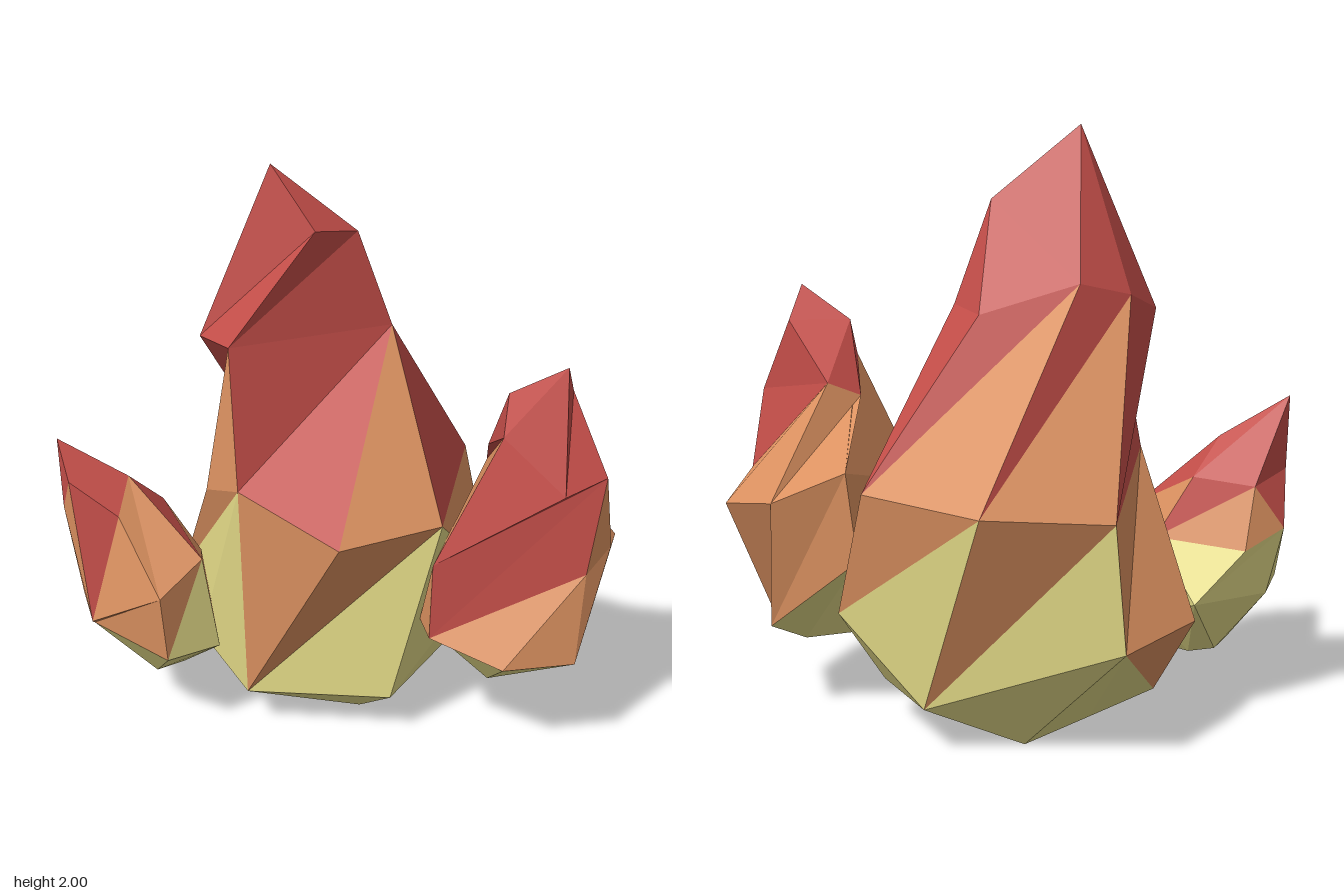
import * as THREE from 'three';

const materials = [
  ['emberRed', 0xc44e49],
  ['flameOrange', 0xdb9160],
  ['paleYellow', 0xe1d886],
].map(([name, color]) => {
  const m = new THREE.MeshStandardMaterial({ color, flatShading: true });
  m.name = name;
  return m;
});

// Stitch rings of corners, lowest first. Each band has one code per quad:
// direction of its diagonal, colour of the upper and of the lower triangle.
function flame(name, rings, bands) {
  const lists = { r: [], o: [], y: [] };
  const tri = (colour, a, b, c) => {
    const [A, B, C] = [a, b, c].map((p) => new THREE.Vector3(...p));
    const area = B.clone().sub(A).cross(C.clone().sub(A)).length();
    if (area > 1e-6) lists[colour].push(...a, ...b, ...c);
  };
  const n = rings[0].length;
  bands.forEach((codes, k) => {
    codes.split(' ').forEach(([diagonal, up, low], i) => {
      const j = (i + 1) % n;
      const [p, pn, q, qn] = [rings[k][i], rings[k][j], rings[k + 1][i], rings[k + 1][j]];
      if (diagonal === '/') {
        tri(up, p, qn, q);
        tri(low, p, pn, qn);
      } else {
        tri(up, pn, qn, q);
        tri(low, p, pn, q);
      }
    });
  });
  // close the base and the top
  const base = rings[0], top = rings[rings.length - 1];
  const peak = top.reduce((a, b) => (b[1] > a[1] ? b : a));
  for (let i = 0; i < n; i++) {
    const j = (i + 1) % n;
    tri('y', base[0], base[j], base[i]);
    tri('r', peak, top[i], top[j]);
  }
  const geometry = new THREE.BufferGeometry();
  const all = [];
  ['r', 'o', 'y'].forEach((key, m) => {
    geometry.addGroup(all.length / 3, lists[key].length / 3, m);
    all.push(...lists[key]);
  });
  geometry.setAttribute('position', new THREE.Float32BufferAttribute(all, 3));
  geometry.computeVertexNormals();
  const mesh = new THREE.Mesh(geometry, materials);
  mesh.name = name;
  return mesh;
}

function mainFlame() {
  const tip = [-0.06, 2, -0.3], shoulder = [0, 1.79, -0.14], brow = [0.19, 1.76, -0.14];
  const b0 = [0.29, 1.42, -0.07], b5 = [-0.33, 1.44, -0.2];
  const a4 = [0.25, 0.79, -0.77], l4 = [0.22, 0.38, -0.79];
  const d0 = [0.04, 0.01, 0.05], d3 = [0.28, 0, -0.4];
  return flame('mainFlame', [
    [d0, d0, [0.48, 0.15, 0.08], d3, d3, [-0.02, 0.02, -0.4], [-0.22, 0.1, -0.51], [-0.2, 0.09, -0.23]],
    [[-0.35, 0.15, -0.12], [0, 0.16, 0.26], [0.64, 0.4, 0.12], [0.58, 0.15, -0.25],
      l4, l4, [-0.22, 0.38, -0.69], [-0.36, 0.28, -0.38]],
    [[-0.24, 0.83, 0.26], [0.15, 0.83, 0.35], [0.69, 0.84, -0.08], [0.6, 0.82, -0.54],
      a4, a4, [-0.37, 0.9, -0.3], [-0.39, 0.97, -0.09]],
    [b0, b0, [0.36, 1.4, -0.27], [0.15, 1.5, -0.51],
      [-0.04, 1.46, -0.55], [-0.26, 1.4, -0.46], b5, b5],
    [brow, brow, brow, tip, tip, tip, shoulder, shoulder],
  ], [
    '/yy \\yy /yy /yy /yy \\oy /yy /yy',
    '/oy \\oy /oy /oy /oo /oo /oy \\oy',
    '/oo \\rr /ro /ro /rr /rr /oo /rr',
    '/rr /rr \\rr /rr /rr /rr /rr /rr',
  ]);
}

function frontFlame() {
  const tip = [0.37, 1.45, 0.68], v = [0.47, 1.33, 0.62], w = [0.29, 1.33, 0.5];
  const u1 = [0.47, 1.07, 0.79], u3 = [0.48, 1.13, 0.38];
  const m6 = [0.06, 0.73, 0.4];
  const l1 = [0.38, 0.39, 0.78], l6 = [0.12, 0.45, 0.28];
  const d0 = [0.3, 0.21, 0.45], d3 = [0.54, 0.22, 0.45], d6 = [0.2, 0.35, 0.3];
  return flame('frontFlame', [
    [d0, d0, d0, d3, d3, [0.4, 0.28, 0.2], d6, d6],
    [[0.16, 0.39, 0.65], l1, l1, [0.54, 0.27, 0.65], [0.72, 0.31, 0.4],
      [0.58, 0.57, 0.09], l6, l6],
    [[0.05, 0.45, 0.4], [0.42, 0.72, 0.77], [0.54, 0.79, 0.77], [0.75, 0.71, 0.62],
      [0.77, 0.76, 0.31], [0.61, 0.87, 0.11], m6, m6],
    [u1, u1, u1, u3, u3, [0.36, 1.08, 0.35], [0.23, 1.2, 0.54], [0.3, 1.04, 0.76]],
    [v, v, v, v, v, w, w, tip],
  ], [
    '/yy /yy /yy /yy /yy /yy /yy /yy',
    '/oo /oo /oy /oy /oo /oy /oo /oo',
    '/rr /oo /ro /oo /oo /ro /rr /rr',
    '/rr /rr /rr /rr /rr /rr /rr /rr',
  ]);
}

function sideFlame() {
  const tip = [-0.74, 1.08, -0.66], notch = [-0.74, 0.82, -0.65];
  const d0 = [-0.55, 0.19, -0.4], d4 = [-0.55, 0.22, -0.55];
  return flame('sideFlame', [
    [d0, [-0.43, 0.18, -0.4], [-0.41, 0.19, -0.5], [-0.43, 0.22, -0.6], d4, d4, d0],
    [[-0.62, 0.34, -0.22], [-0.41, 0.33, -0.2], [-0.32, 0.33, -0.42], [-0.25, 0.42, -0.66],
      [-0.58, 0.41, -0.7], [-0.66, 0.41, -0.64], [-0.75, 0.43, -0.48]],
    [[-0.64, 0.59, -0.22], [-0.45, 0.68, -0.23], [-0.32, 0.6, -0.42], [-0.45, 0.58, -0.71],
      [-0.62, 0.64, -0.74], [-0.68, 0.45, -0.66], [-0.77, 0.45, -0.46]],
    [[-0.66, 0.84, -0.42], [-0.56, 0.94, -0.5], [-0.42, 0.81, -0.5], [-0.52, 0.79, -0.69],
      notch, notch, [-0.77, 0.96, -0.55]],
    Array(7).fill(tip),
  ], [
    '/yy /yy /yy /yy /yy /yy /yy',
    '/oy /oy \\yy /yy /yy /yy /oo',
    '/oo /ro /ro \\ro /rr \\oo /ro',
    '/rr /rr /rr /rr /rr /rr /rr',
  ]);
}

export function createModel() {
  const group = new THREE.Group();
  group.name = 'fire';
  group.add(mainFlame(), frontFlame(), sideFlame());
  return group;
}
